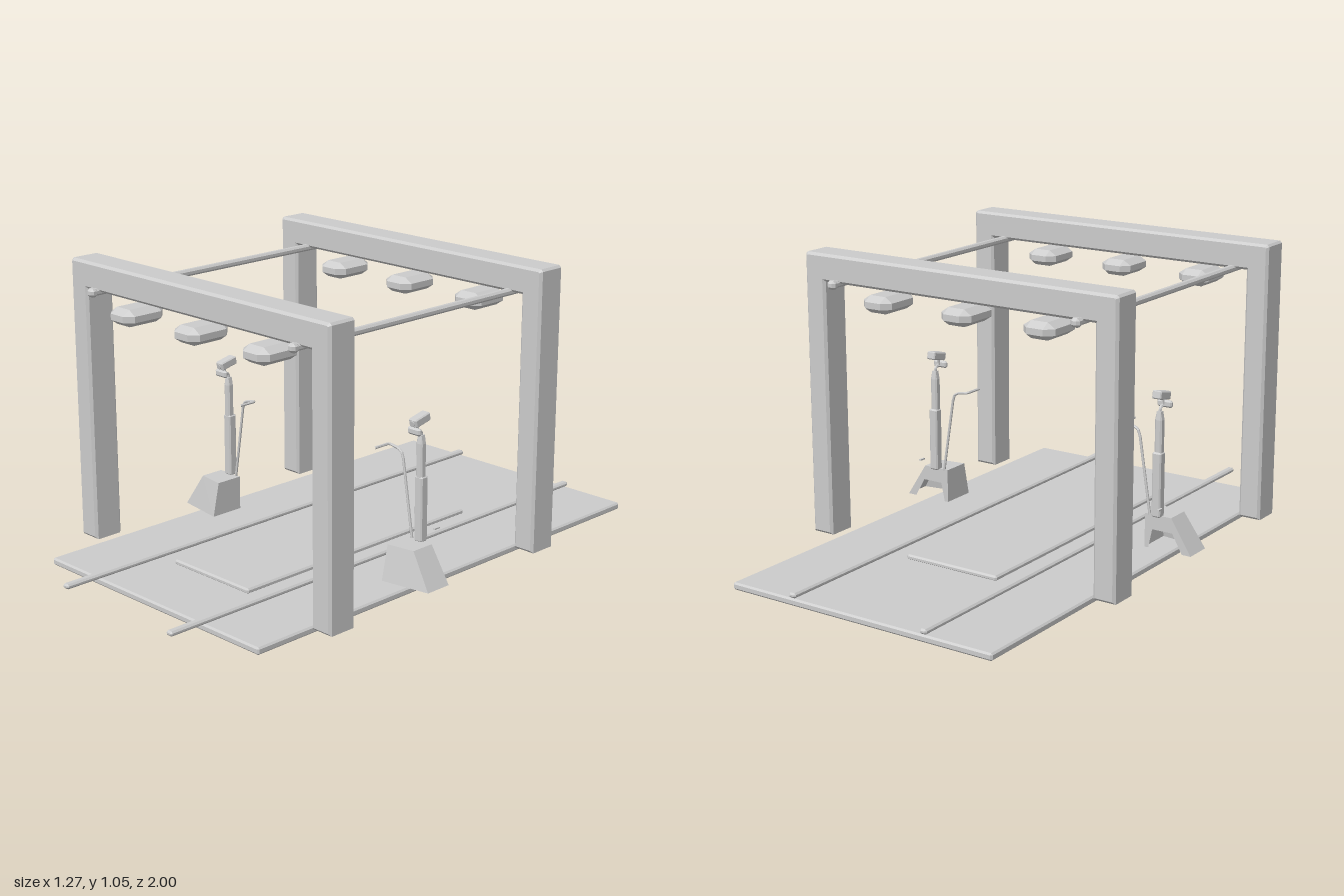
import * as THREE from 'three';
import { ConvexGeometry } from 'three/addons/geometries/ConvexGeometry.js';

const material = new THREE.MeshStandardMaterial({ color: 0xcccccc, flatShading: true });
const sheet = new THREE.MeshStandardMaterial({ color: 0xcccccc, flatShading: true, side: THREE.DoubleSide });

function add(parent, name, geometry, x = 0, y = 0, z = 0, mat = material) {
  const mesh = new THREE.Mesh(geometry, mat);
  mesh.name = name;
  mesh.position.set(x, y, z);
  parent.add(mesh);
  return mesh;
}

// Box with every edge and corner cut off
function chamferBox(w, h, d, cx, cy = cx, cz = cx) {
  const points = [];
  for (const i of [-1, 1]) for (const j of [-1, 1]) for (const k of [-1, 1]) {
    const x = w / 2, y = h / 2, z = d / 2;
    points.push(
      new THREE.Vector3(i * x, j * (y - cy), k * (z - cz)),
      new THREE.Vector3(i * (x - cx), j * y, k * (z - cz)),
      new THREE.Vector3(i * (x - cx), j * (y - cy), k * z));
  }
  return new ConvexGeometry(points);
}

function shapeOf(points) {
  return new THREE.Shape(points.map(([x, y]) => new THREE.Vector2(x, y)));
}

// Upside-down U frame with bevelled edges
function portalGeometry() {
  const c = 0.009, depth = 0.115;
  const shape = shapeOf([
    [-0.635, 0.03], [-0.55, 0.03], [-0.55, 0.952], [0.55, 0.952], [0.55, 0.03], [0.635, 0.03],
    [0.635, 1.042], [0.627, 1.05], [-0.627, 1.05], [-0.635, 1.042],
  ]);
  return new THREE.ExtrudeGeometry(shape, {
    depth: depth - 2 * c, bevelThickness: c, bevelSize: c, bevelOffset: -c, bevelSegments: 1,
  }).translate(0, 0, c - depth / 2);
}

// Sloped hood: top, front, inner side and outer slope; open below
function hoodGeometry(s) {
  const corners = [
    [0.43, 0.03, 0.065], [0.43, 0.03, 0.197], [0.615, 0.03, 0.168], [0.615, 0.03, 0.065],
    [0.43, 0.155, 0.065], [0.43, 0.155, 0.17], [0.535, 0.155, 0.155], [0.535, 0.155, 0.065],
  ];
  const index = [];
  for (const [a, b, c, d] of [[0, 1, 5, 4], [1, 2, 6, 5], [2, 3, 7, 6], [4, 5, 6, 7]]) {
    index.push(...(s > 0 ? [a, b, c, a, c, d] : [a, c, b, a, d, c]));
  }
  const geometry = new THREE.BufferGeometry();
  geometry.setAttribute('position', new THREE.Float32BufferAttribute(
    corners.flatMap(([x, y, z]) => [s * x, y, z]), 3));
  geometry.setIndex(index);
  const flat = geometry.toNonIndexed();
  flat.computeVertexNormals();
  return flat;
}

// Pedestal with hood, post, hose arm and tilted head; s is the side
function pedestal(s) {
  const group = new THREE.Group();
  group.name = s > 0 ? 'leftPedestal' : 'rightPedestal';
  const x = s * 0.482;

  add(group, 'baseHood', hoodGeometry(s), 0, 0, 0, sheet);
  const back = shapeOf([
    [0.43, 0.03], [0.43, 0.155], [0.535, 0.155], [0.615, 0.03],
    [0.58, 0.03], [0.54, 0.1], [0.46, 0.1], [0.445, 0.03],
  ].map(([px, py]) => [s * px, py]));
  add(group, 'baseBack', new THREE.ShapeGeometry(back), 0, 0, 0.065, sheet);

  add(group, 'postSleeve', chamferBox(0.035, 0.235, 0.034, 0.005), x, 0.27, 0.063);
  add(group, 'post', chamferBox(0.028, 0.38, 0.026, 0.006, 0.03, 0.005), x, 0.342, 0.066);

  // Neck and head
  const neck = new THREE.CatmullRomCurve3([
    new THREE.Vector3(x, 0.525, 0.066), new THREE.Vector3(x, 0.545, 0.07),
    new THREE.Vector3(x, 0.55, 0.085), new THREE.Vector3(x, 0.575, 0.085),
  ]);
  add(group, 'neck', new THREE.TubeGeometry(neck, 8, 0.006, 6));
  add(group, 'headBracket', chamferBox(0.058, 0.026, 0.016, 0.006), x, 0.552, 0.1);
  const head = new THREE.Group();
  head.name = 'head';
  head.position.set(x, 0.588, 0.075);
  head.rotation.x = 0.22;
  add(head, 'headCase', chamferBox(0.036, 0.03, 0.072, 0.004));
  add(head, 'lens', new THREE.CylinderGeometry(0.01, 0.01, 0.006, 8).rotateX(Math.PI / 2), 0, 0, 0.037);
  group.add(head);

  // Bent hose arm, turning forward at its tip
  const path = [
    [0.448, 0.15, 0.068], [0.403, 0.43, 0.068], [0.395, 0.452, 0.068], [0.38, 0.461, 0.068],
    [0.342, 0.467, 0.068], [0.337, 0.468, 0.075], [0.337, 0.468, 0.14],
  ].map(([px, py, pz]) => new THREE.Vector3(s * px, py, pz));
  const curve = new THREE.CurvePath();
  for (let i = 1; i < path.length; i++) curve.add(new THREE.LineCurve3(path[i - 1], path[i]));
  add(group, 'hoseArm', new THREE.TubeGeometry(curve, 60, 0.005, 6));
  add(group, 'hook', new THREE.BoxGeometry(0.008, 0.005, 0.025), s * 0.515, 0.195, 0.02);
  return group;
}

export function createModel() {
  const model = new THREE.Group();
  model.name = 'gantryBay';

  // Floor
  add(model, 'platform', chamferBox(1.06, 0.026, 1.855, 0.006), 0, 0.014, -0.07);
  add(model, 'centrePad', chamferBox(0.378, 0.02, 1.085, 0.006), 0, 0.033, 0.048);

  // Two portals, each with three lamps
  for (const [name, z] of [['front', 0.59], ['back', -0.407]]) {
    add(model, name + 'Portal', portalGeometry(), 0, 0, z);
    for (const x of [-0.33, 0, 0.33]) {
      add(model, name + 'Lamp', chamferBox(0.122, 0.06, 0.172, 0.029, 0.019, 0.029), x, 0.897, z + 0.018);
    }
  }

  // Paired floor rails, overhead bars and pedestals
  for (const s of [-1, 1]) {
    add(model, 'floorRail', chamferBox(0.028, 0.018, 2, 0.006), s * 0.268, 0.038, 0);
    add(model, 'overheadBar', chamferBox(0.026, 0.024, 1.16, 0.007), s * 0.495, 0.952, 0.091);
    for (const z of [0.665, -0.485]) {
      add(model, 'barEnd', chamferBox(0.034, 0.031, 0.03, 0.009), s * 0.495, 0.952, z);
    }
    model.add(pedestal(s));
  }
  return model;
}
